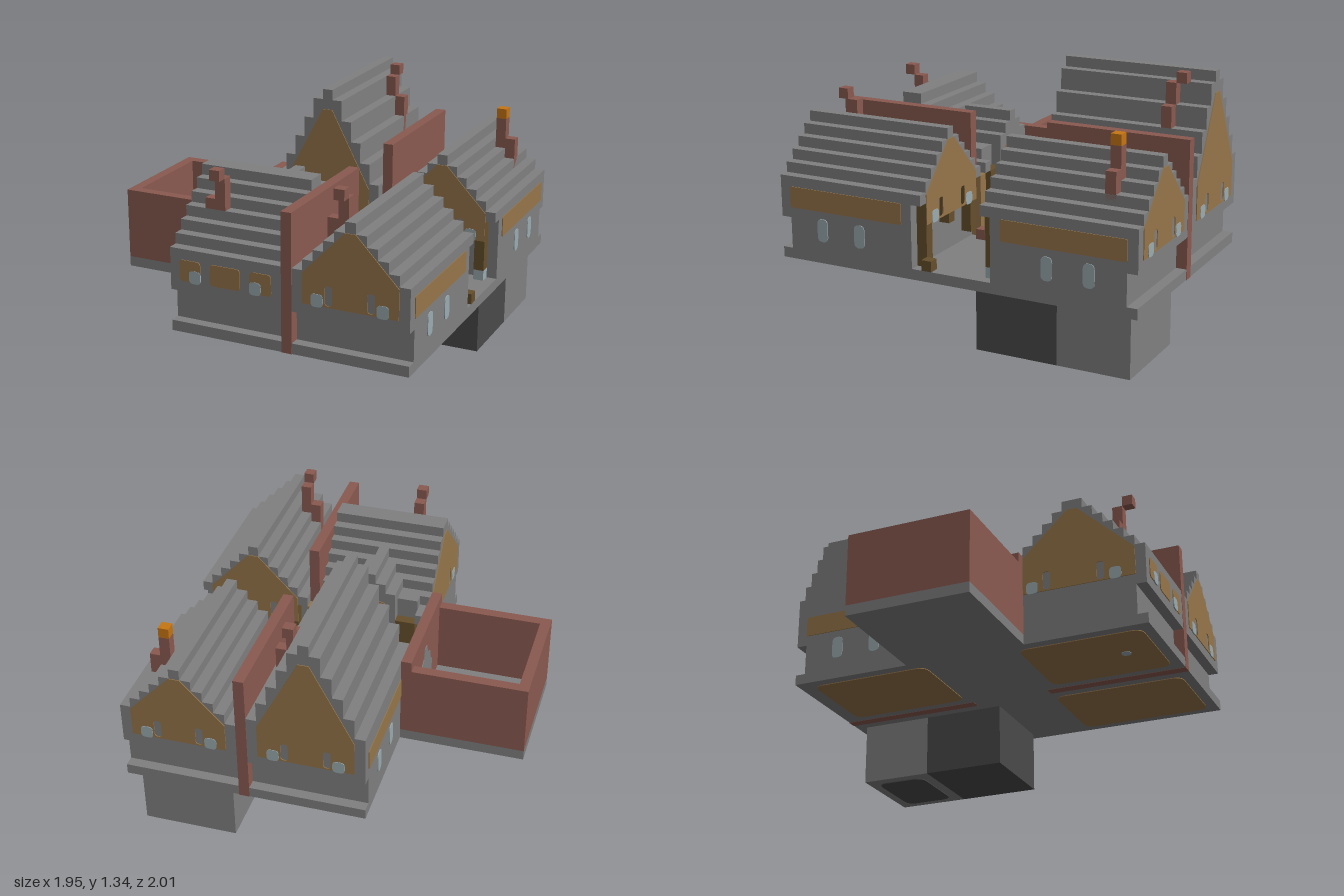
import * as THREE from 'three';

const U = 1 / 18; // one block

export function createModel() {
  const mat = (name, color) => {
    const m = new THREE.MeshStandardMaterial({ color });
    m.name = name;
    return m;
  };
  const stone = mat('stone grey', 0x808080), brick = mat('brick red', 0x8a5a50);
  const plaster = mat('plaster tan', 0x96764a), wood = mat('dark wood', 0x66502c);
  const glass = mat('pale glass', 0x9bacb1), flame = mat('flame orange', 0xc67613);
  const cellar = mat('cellar dark', 0x4a4a4a);

  const model = new THREE.Group();
  model.name = 'steppedRoofHouses';

  // Block given by its ranges, in block units
  function box(name, m, x0, x1, y0, y1, z0, z1, parent = model) {
    const mesh = new THREE.Mesh(new THREE.BoxGeometry(x1 - x0, y1 - y0, z1 - z0), m);
    mesh.position.set((x0 + x1) / 2, (y0 + y1) / 2, (z0 + z1) / 2);
    mesh.name = name;
    parent.add(mesh);
    return mesh;
  }

  // Rounded outline centred on x = cx, used for windows, strips and floors
  function rounded(cx, y0, w, h, r, Type = THREE.Shape) {
    const s = new Type(), a = cx - w / 2, b = cx + w / 2, y1 = y0 + h;
    s.moveTo(a + r, y0).lineTo(b - r, y0).quadraticCurveTo(b, y0, b, y0 + r);
    s.lineTo(b, y1 - r).quadraticCurveTo(b, y1, b - r, y1);
    s.lineTo(a + r, y1).quadraticCurveTo(a, y1, a, y1 - r);
    s.lineTo(a, y0 + r).quadraticCurveTo(a, y0, a + r, y0);
    return s;
  }

  // Thin painted plate facing along angle (0 = front, PI = back)
  function plate(name, m, shape, x, z, angle, depth = 0.08) {
    const geo = new THREE.ExtrudeGeometry(shape, { depth, bevelEnabled: false, curveSegments: 4 });
    const mesh = new THREE.Mesh(geo, m);
    mesh.position.set(x, 0, z);
    mesh.rotation.y = angle;
    mesh.name = name;
    model.add(mesh);
    return mesh;
  }

  // Plaster gable with two alcoves and two windows
  function gable(x, z, angle, half, eave, peak) {
    const s = new THREE.Shape();
    s.moveTo(-half, 11).lineTo(half, 11).lineTo(half, eave);
    s.lineTo(0.5, peak).lineTo(-0.5, peak).lineTo(-half, eave).closePath();
    for (const side of [-1, 1]) {
      s.holes.push(rounded(side * half * 0.44, 11.15, 0.7, 1.8, 0.3, THREE.Path));
      plate('gableWindow', glass, rounded(side * half * 0.68, 10.9, 1.15, 1.2, 0.4), x, z, angle, 0.13);
    }
    plate('gablePlaster', plaster, s, x, z, angle);
  }

  const PI = Math.PI;

  // Foundation slab and cellar
  box('foundation', stone, -5.5, 17.5, 6, 7, -18, 18);
  box('cellarFront', cellar, 7.5, 16.5, 0, 6, -10, -2);
  box('cellarBack', stone, 7.5, 16.5, 0, 6, -17, -10);

  // Painted floors on the underside
  function under(name, m, x, z, w, d, y, r) {
    const p = plate(name, m, rounded(0, -d / 2, w, d, r), x, z, 0);
    p.rotation.set(PI / 2, 0, 0);
    p.position.y = y;
  }
  under('floorRight', plaster, 12, 10.5, 9, 13, 6, 1);
  under('floorLeft', plaster, 0, 11, 9, 12, 6, 1);
  under('floorBack', plaster, 0, -10.5, 9, 12, 6, 1);
  under('floorLight', glass, 0, 14, 0.9, 0.9, 5.95, 0.4);
  under('cellarDrain', cellar, 12, -13.5, 7, 5, 0, 1);

  // House body: recessed lower storey, flush upper storey, s = front (1) or back (-1)
  function body(name, x0, x1, s) {
    const part = (n, y0, y1, a, b) =>
      box(name + n, stone, x0, x1, y0, y1, Math.min(a * s, b * s), Math.max(a * s, b * s));
    part('LowerWall', 7, 10, 4, 17);
    part('UpperWall', 10, 13, 4, 18);
  }

  // Stepped roof with its ridge running front to back
  function roof(name, cx, s, tops) {
    tops.forEach((top, i) => {
      const half = 5.5 - i, base = i ? tops[i - 1] : 13;
      box(name + 'RoofStep', stone, cx - half, cx + half, base, top, Math.min(3 * s, 18 * s), Math.max(3 * s, 18 * s));
    });
  }

  // Two right-hand houses and the tall back house
  for (const s of [1, -1]) {
    body('rightHouse', 6.5, 17.5, s);
    roof('rightHouse', 12, s, [14, 15, 16, 17, 18, 19]);
    gable(12, 18 * s, s > 0 ? 0 : PI, 4.5, 13.8, 18);
    gable(12, 3 * s, s > 0 ? PI : 0, 4.5, 13.8, 18);
    plate('sideStrip', plaster, rounded(0, 11, 12, 2, 0.15), 17.5, 11 * s, PI / 2);
    for (const z of [9.5, 13.5])
      plate('sideWindow', glass, rounded(0, 8.1, 1.1, 2.2, 0.5), 17.5, z * s, PI / 2);
  }
  body('tallHouse', -5.5, 5.5, -1);
  roof('tallHouse', 0, -1, [15, 17, 19, 21, 23, 24]);
  gable(0, -18, PI, 4.5, 14.4, 22);
  gable(0, -3, 0, 4.5, 14.4, 22);
  plate('sideStrip', plaster, rounded(0, 11, 11, 2, 0.15), -5.5, -11.5, -PI / 2);
  for (const z of [-9.5, -13.5])
    plate('sideWindow', glass, rounded(0, 8.1, 1.1, 2.2, 0.5), -5.5, z, -PI / 2);

  // Front left house: ridge runs across, with a dormer over the alley
  body('leftHouse', -5.5, 5.5, 1);
  for (let i = 0; i < 7; i++)
    box('leftHouseRoofStep', stone, -5.5, 5.5, 13 + i, 14 + i, 4 + i, 18 - i);
  for (const s of [-1, 1])
    box('leftHouseEave', stone, s * 5 - 0.5, s * 5 + 0.5, 13, 14, 3, 4);
  box('dormerWall', stone, -2.5, 2.5, 10, 15, 3, 4);
  box('dormerStep', stone, -4.5, 4.5, 14, 15, 4, 6);
  [2.5, 1.5, 0.5].forEach((h, i) => box('dormerStep', stone, -h, h, 15 + i, 16 + i, 3, 6 + i));
  plate('dormerPlaster', plaster, rounded(0, 11, 3.4, 4, 0.8), 0, 3, PI);
  for (const x of [-0.9, 0.9])
    plate('dormerWindow', glass, rounded(x, 11.4, 1, 1.6, 0.4), 0, 3, PI, 0.13);
  gable(-5.5, 11, -PI / 2, 6, 13.8, 19);
  for (const [x, w] of [[-3.5, 2.1], [0, 3], [3.5, 2.1]])
    plate('frontPanel', plaster, rounded(x, 11, w, 2, 0.35), 0, 18, 0);
  for (const x of [-3, 3])
    plate('frontWindow', glass, rounded(x, 10.9, 1.15, 1.2, 0.4), 0, 18, 0, 0.13);

  // Party wall between the left and right houses
  for (const s of [1, -1]) {
    box('partyWall', brick, 5.5, 6.5, 7, 19, s > 0 ? 4 : -18.03, s > 0 ? 18.03 : -4);
    box('partyWallEnd', plaster, 5.5, 6.5, 7, 13, s * 3.5 - 0.5, s * 3.5 + 0.5);
    box('partyWallFoot', brick, 5.5, 6.5, 5.97, 7, s * 11 - 7.03, s * 11 + 7.03);
  }

  // Walled courtyard with its higher gate wall
  box('courtyardFloor', stone, -17.5, -5.5, 6, 7, -6, 6);
  box('courtyardEndWall', brick, -17.5, -16.5, 7, 14, -6, 6);
  for (const s of [-1, 1])
    box('courtyardSideWall', brick, -16.5, -6.5, 7, 14, s * 5.5 - 0.5, s * 5.5 + 0.5);
  box('gateWall', brick, -6.5, -5.5, 7, 15, -6, 6);
  const half = [[2.5, 7], [2.5, 10], [1.9, 10.6], [1.7, 11.5], [0.7, 12], [0.4, 13]];
  const outline = [...half, ...half.slice().reverse().map(([a, b]) => [-a, b])];
  const gate = new THREE.Shape(outline.map(([a, b]) => new THREE.Vector2(a, b)));
  plate('gate', stone, gate, -5.5, -0.5, PI / 2);
  plate('gate', stone, gate, -6.5, -0.5, -PI / 2);

  // Chimneys: a low flue, a tall flue and a bent or burning cap
  function chimney(lowX, tallX, z, low, tall, capZ, capMat) {
    box('chimneyLow', brick, lowX - 0.5, lowX + 0.5, 15, low, z - 0.5, z + 0.5);
    box('chimneyTall', brick, tallX - 0.5, tallX + 0.5, low - 1, tall, z - 0.5, z + 0.5);
    box('chimneyCap', capMat, tallX - 0.5, tallX + 0.5, tall, tall + 1, capZ - 0.5, capZ + 0.5);
  }
  chimney(-3, -2, 14.5, 18, 20, 15.5, brick);
  chimney(9, 10, 14.5, 18, 20, 15.5, brick);
  chimney(3, 2, -14.5, 21, 23, -15.5, brick);
  chimney(15, 14, -14.5, 18, 20, -14.5, flame);

  // Shutters and posts along the alley
  for (const x of [-3.5, 3.5]) box('alleyShutter', wood, x - 1, x + 1, 10, 13, 3, 4);
  for (const s of [-1, 1])
    for (const x of [8, 12, 16])
      box('alleyPost', wood, x - 0.5, x + 0.5, x === 12 ? 10 : 8, 13, s * 3.5 - 0.5, s * 3.5 + 0.5);
  box('alleyStep', wood, 15.5, 16.5, 7, 8, 3, 4);

  // Small pots and crates on the ground
  const items = [[17, 2.5, wood], [7, 2.5, brick], [10, -2.5, brick], [14, -2.5, brick],
    [16, -3.5, glass], [-7, -2.5, glass], [-16, -0.5, wood], [-14, -4.5, wood], [-15, -4.5, wood]];
  for (const [x, z, m] of items) box('groundPot', m, x - 0.5, x + 0.5, 7, 8, z - 0.5, z + 0.5);

  model.scale.setScalar(U);
  const root = new THREE.Group();
  root.name = 'houses';
  root.add(model);
  return root;
}
